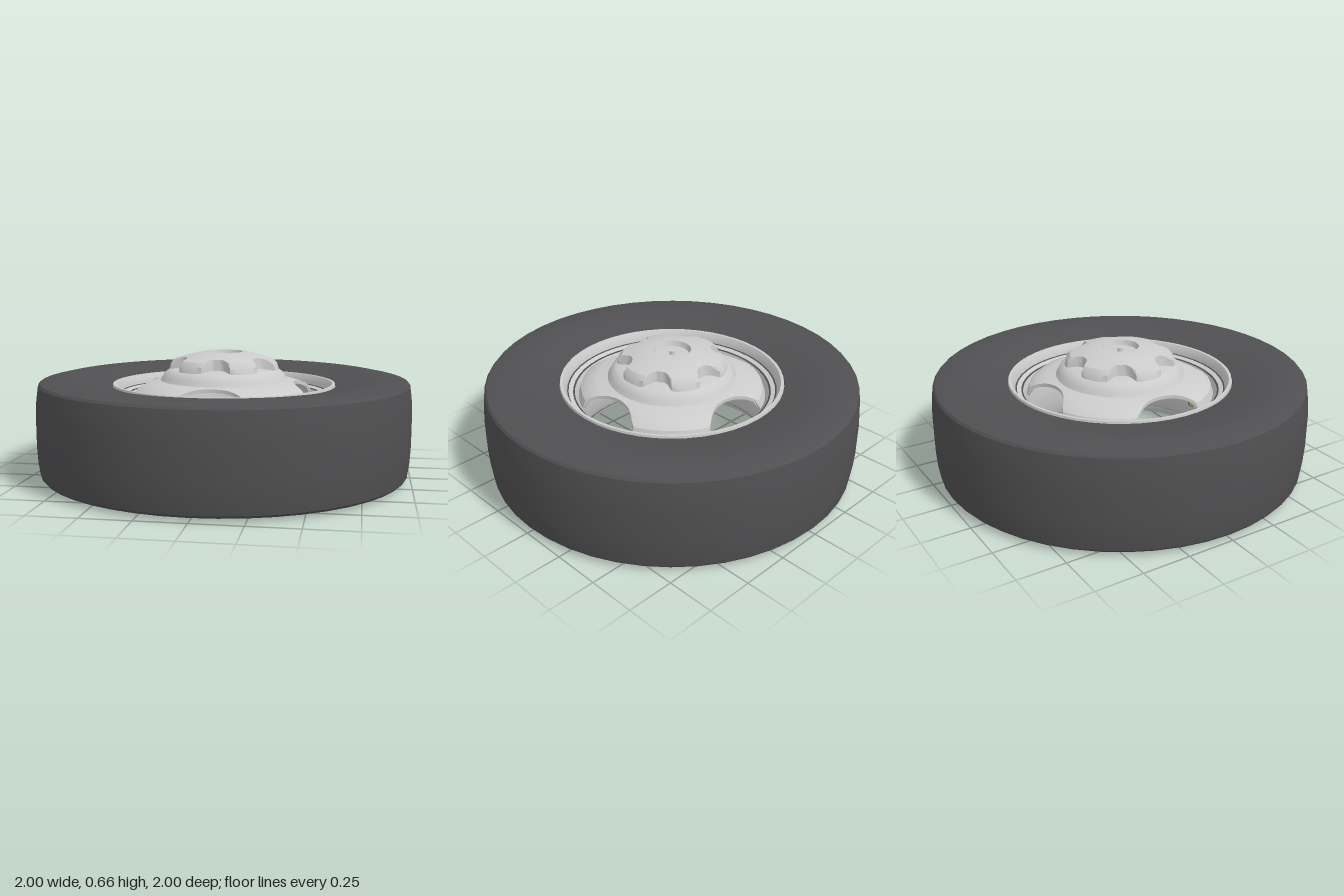
import * as THREE from 'three';
import { toCreasedNormals } from 'three/addons/utils/BufferGeometryUtils.js';

const paint = (color) => new THREE.MeshStandardMaterial({ color, side: THREE.DoubleSide });
const rubber = paint(0x505052);
const steel = paint(0xcccccc);
const brass = paint(0x8a7a30);
const black = paint(0x222222);

// Linear interpolation of height along a profile of [radius, height] rising in radius
function heightAt(profile, r) {
  for (let i = 1; i < profile.length; i++) {
    const [r0, y0] = profile[i - 1], [r1, y1] = profile[i];
    if (r <= r1) return y0 + (y1 - y0) * Math.max(0, (r - r0) / (r1 - r0));
  }
  return profile[profile.length - 1][1];
}

// Lathe a profile, then optionally move each vertex by rule(r, y, angle, pointIndex) -> [r, y]
function turned(name, profile, material, segments = 48, rule = null, crease = 0.5) {
  const geo = new THREE.LatheGeometry(profile.map(([r, y]) => new THREE.Vector2(r, y)), segments);
  if (rule) {
    const pos = geo.attributes.position;
    for (let i = 0; i < pos.count; i++) {
      const column = Math.floor(i / profile.length), k = i % profile.length;
      const angle = (column / segments) * Math.PI * 2;
      const [r, y] = rule(profile[k][0], profile[k][1], angle, k);
      pos.setXYZ(i, r * Math.sin(angle), y, r * Math.cos(angle));
    }
  }
  const mesh = new THREE.Mesh(toCreasedNormals(geo, crease), material);
  mesh.name = name;
  return mesh;
}

// Signed angle to the nearest of n evenly spaced axes
function nearest(angle, n, offset = 0) {
  const step = (Math.PI * 2) / n;
  const a = angle - offset;
  return a - Math.round(a / step) * step;
}

export function createModel() {
  const wheel = new THREE.Group();
  wheel.name = 'wheel';
  const mid = 0.265;
  const mirrored = (half) => [...half, ...half.map(([r, y]) => [r, 2 * mid - y]).reverse()];

  // Tyre: sidewall from bead to tread, mirrored about the mid height
  const tyre = mirrored([
    [0.52, 0.10], [0.585, 0.075], [0.6, 0.045], [0.63, 0.04], [0.7, 0.022],
    [0.8, 0.008], [0.89, 0], [0.975, 0.018], [0.985, 0.03], [0.995, 0.1], [1, 0.18],
  ]);
  wheel.add(turned('tyre', tyre, rubber));

  // Rim barrel with a stepped flange at each end and a shallow well
  const barrel = mirrored([
    [0.6, 0.06], [0.595, 0.035], [0.58, 0.035], [0.565, 0.06], [0.56, 0.085],
    [0.53, 0.095], [0.515, 0.125], [0.505, 0.2], [0.5, 0.25],
  ]);
  wheel.add(turned('rim', barrel, steel));

  // Wheel disc: four scoops cut from its outer edge
  const top = [[0.28, 0.525], [0.34, 0.51], [0.4, 0.5], [0.455, 0.48], [0.485, 0.455], [0.5, 0.41]];
  const thickness = 0.018;
  const under = top.map(([r, y]) => [r - (r > 0.48 ? 0.012 : 0), y - (r > 0.49 ? 0 : thickness)]);
  const discProfile = [...under, ...[...top].reverse()];
  const scoop = 0.375;
  wheel.add(turned('disc', discProfile, steel, 144, (r, y, angle, k) => {
    const a = Math.abs(nearest(angle, 4)) / scoop;
    if (a >= 1) return [r, y];
    const cap = 0.5 - 0.125 * Math.pow(1 - a * a, 0.6);
    if (r <= cap) return [r, y];
    return [cap, heightAt(top, cap) - (k < under.length ? thickness : 0)];
  }));

  // Raised hub
  wheel.add(turned('hub', [
    [0.345, 0.505], [0.33, 0.53], [0.32, 0.548], [0.295, 0.567], [0.27, 0.572], [0.15, 0.59],
  ], steel));

  // Hub cap with six lobes and a recessed centre
  const crown = [[0.12, 0.66], [0.2, 0.64], [0.265, 0.622], [0.285, 0.6]];
  const capProfile = [
    [0.295, 0.566], ...[...crown].reverse(),
    [0.1, 0.66], [0.09, 0.632], [0, 0.632],
  ];
  wheel.add(turned('hubCap', capProfile, steel, 72, (r, y, angle, k) => {
    const a = Math.abs(nearest(angle, 6, Math.PI / 2));
    const t = THREE.MathUtils.clamp((0.37 - a) / 0.12, 0, 1);
    const limit = 0.215 + 0.08 * t;
    if (r <= limit) return [r, y];
    return k === 0 ? [limit + 0.01 * (1 - t), y] : [limit, heightAt(crown, limit)];
  }));
  const pin = new THREE.Mesh(new THREE.CylinderGeometry(0.014, 0.014, 0.02, 8), steel);
  pin.name = 'centrePin';
  pin.position.y = 0.64;
  wheel.add(pin);

  // Valve: bent stem and dark tip reaching into the front scoop
  const valve = new THREE.Group();
  valve.name = 'valve';
  const path = new THREE.CatmullRomCurve3([
    new THREE.Vector3(0, 0.2, 0.5), new THREE.Vector3(0, 0.205, 0.475),
    new THREE.Vector3(0, 0.235, 0.465), new THREE.Vector3(0, 0.38, 0.446),
  ]);
  const stem = new THREE.Mesh(new THREE.TubeGeometry(path, 16, 0.006, 8), brass);
  stem.name = 'valveStem';
  const tip = new THREE.Mesh(new THREE.CylinderGeometry(0.006, 0.009, 0.03, 8), black);
  tip.name = 'valveTip';
  tip.position.set(0, 0.39, 0.445);
  tip.rotation.x = -0.13;
  valve.add(stem, tip);
  wheel.add(valve);

  return wheel;
}
